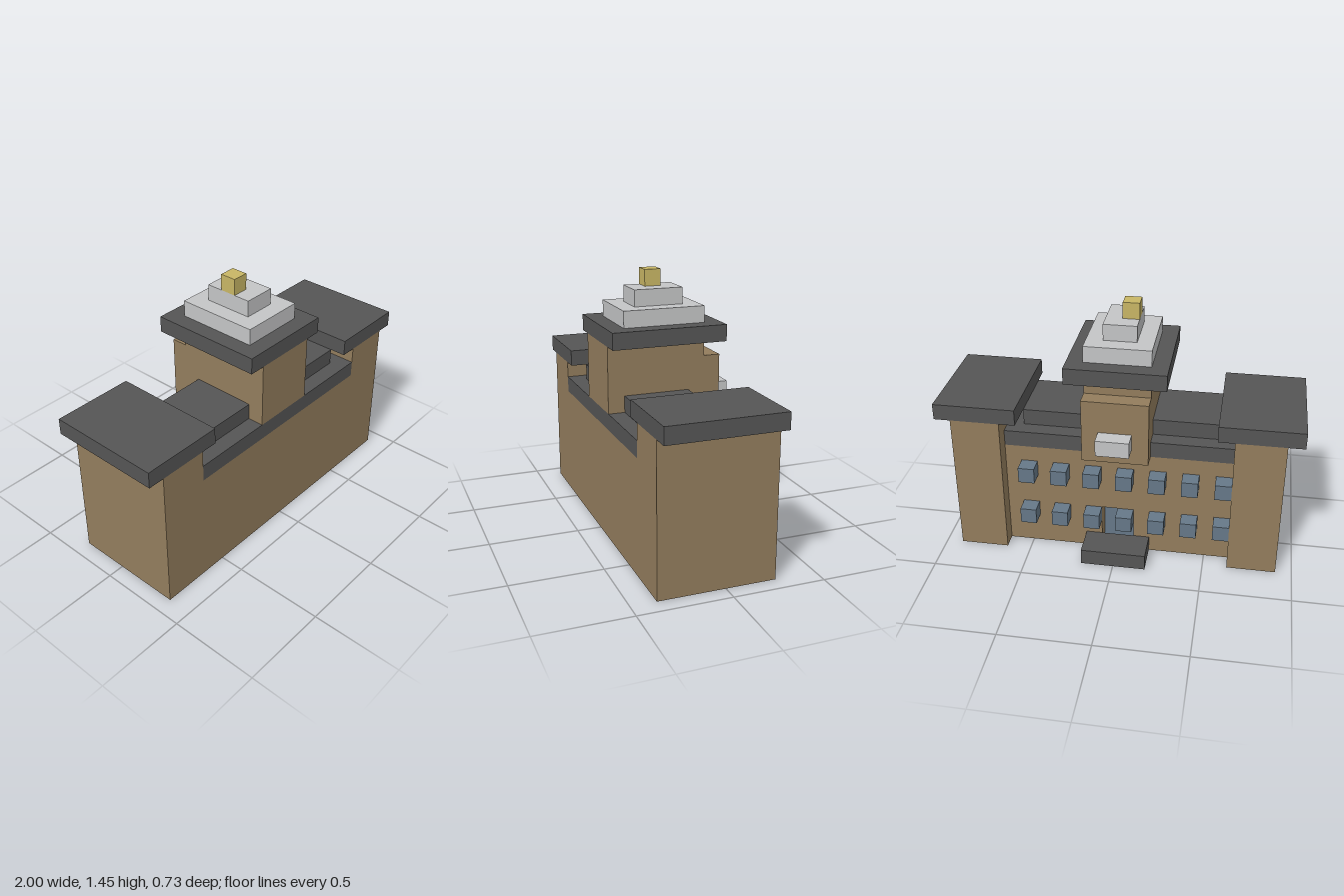
import * as THREE from 'three';

// Everything sits on a block grid: 22 blocks across equals 2 units.
const U = 1 / 11;

const material = (name, color) => {
  const m = new THREE.MeshStandardMaterial({ color });
  m.name = name;
  return m;
};

export function createModel() {
  const brick = material('brick', 0x937d5d);
  const slate = material('slate', 0x555555);
  const stone = material('stone', 0xc4c5c6);
  const gold = material('gold', 0xc8b665);
  const glass = material('glass', 0x667888);

  const model = new THREE.Group();
  model.name = 'towerBuilding';

  // Box from block ranges along x, y and z
  function block(name, mat, [x0, x1], [y0, y1], [z0, z1], parent = model) {
    const geo = new THREE.BoxGeometry((x1 - x0) * U, (y1 - y0) * U, (z1 - z0) * U);
    const mesh = new THREE.Mesh(geo, mat);
    mesh.position.set((x0 + x1) * U / 2, (y0 + y1) * U / 2, (z0 + z1) * U / 2);
    mesh.name = name;
    parent.add(mesh);
    return mesh;
  }

  // Ground floor: plan outline with a door recess in the rear wall
  const plan = [[-7, -4], [7, -4], [7, 2], [1, 2], [1, 0], [-1, 0], [-1, 2], [-7, 2]];
  const outline = new THREE.Shape(plan.map(([x, y]) => new THREE.Vector2(x * U, y * U)));
  const floorGeo = new THREE.ExtrudeGeometry(outline, { depth: 3 * U, bevelEnabled: false });
  floorGeo.rotateX(-Math.PI / 2);
  const groundFloor = new THREE.Mesh(floorGeo, brick);
  groundFloor.name = 'groundFloor';
  model.add(groundFloor);

  // Upper floors and stepped main roof
  block('upperFloors', brick, [-7, 7], [3, 7], [-2, 4]);
  block('lowerRoof', slate, [-7, 7], [7, 8], [-2, 4]);
  block('upperRoof', slate, [-6, 6], [8, 9], [-1, 3]);

  // Side wings with overhanging flat roofs
  for (const [side, s] of [['left', 1], ['right', -1]]) {
    const span = (a, b) => (s > 0 ? [a, b] : [-b, -a]);
    block(side + 'Wing', brick, span(7, 10), [0, 9], [-3, 4]);
    block(side + 'WingRoof', slate, span(6, 11), [9, 10], [-3, 4]);
  }

  // Entrance in the rear wall
  block('door', glass, [-1, 1], [0, 3], [-1, 0]);
  block('entranceStep', slate, [-2, 2], [0, 1], [-4, -2]);

  // Two rows of projecting rear windows
  const windows = new THREE.Group();
  windows.name = 'windows';
  model.add(windows);
  for (const y of [2, 5])
    for (let x = -7; x <= 5; x += 2)
      block('window', glass, [x, x + 1], [y, y + 1], [-3, -2], windows);

  // Central tower with a rear bay and balcony
  block('tower', brick, [-2, 2], [8, 12], [-2, 4]);
  block('towerBay', brick, [-2, 2], [7, 11], [-3, -2]);
  block('balcony', stone, [-1, 1], [8, 9], [-4, -3]);
  block('towerRoof', slate, [-3, 3], [12, 13], [-3, 4]);

  // Stepped crown and finial
  block('crownBase', stone, [-2, 2], [13, 14], [-2, 3]);
  block('crownTop', stone, [-1, 1], [14, 15], [-1, 2]);
  block('finial', gold, [-1, 0], [15, 16], [0, 1]);

  return model;
}
